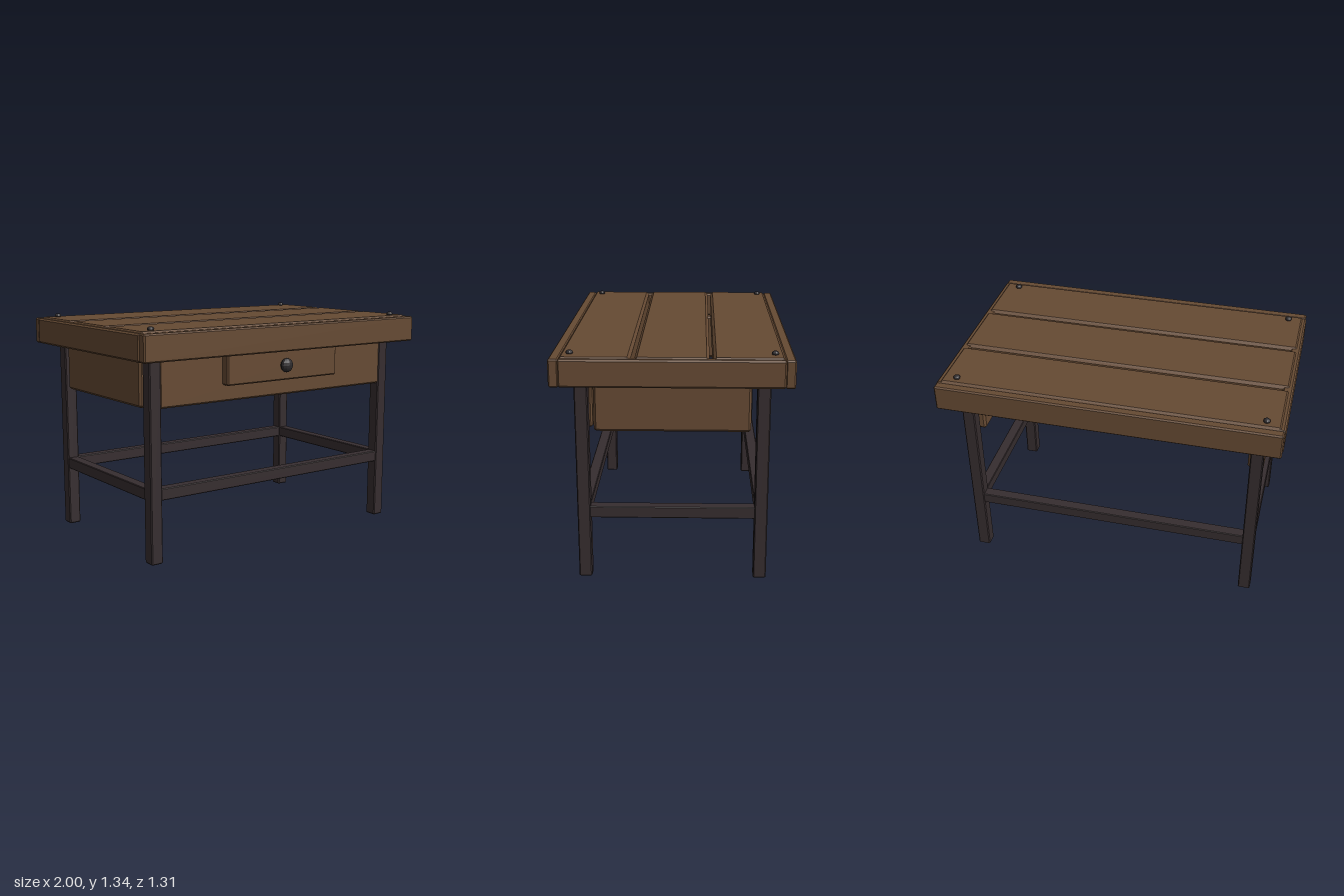
import * as THREE from 'three';
import { ConvexGeometry } from 'three/addons/geometries/ConvexGeometry.js';

const wood = new THREE.MeshStandardMaterial({ color: 0x664a33 });
wood.name = 'brown wood';
const metal = new THREE.MeshStandardMaterial({ color: 0x362d2f });
metal.name = 'dark frame metal';
const iron = new THREE.MeshStandardMaterial({ color: 0x2d2a2c });
iron.name = 'black iron';

// Box between two corners with every edge and corner chamfered
function chamferBox(name, min, max, material, bevel) {
  const half = max.map((v, i) => (v - min[i]) / 2);
  const points = [];
  for (const sx of [-1, 1]) for (const sy of [-1, 1]) for (const sz of [-1, 1]) {
    for (let axis = 0; axis < 3; axis++) {
      const p = half.map((h, i) => (i === axis ? h : h - bevel));
      points.push(new THREE.Vector3(sx * p[0], sy * p[1], sz * p[2]));
    }
  }
  const mesh = new THREE.Mesh(new ConvexGeometry(points), material);
  mesh.position.set(...max.map((v, i) => (v + min[i]) / 2));
  mesh.name = name;
  return mesh;
}

// Faceted, flattened ball for the knob and the bolt heads
function facetedBall(name, radii, position) {
  const geometry = new THREE.SphereGeometry(1, 12, 8).scale(...radii).toNonIndexed();
  geometry.computeVertexNormals();
  const mesh = new THREE.Mesh(geometry, iron);
  mesh.position.set(...position);
  mesh.name = name;
  return mesh;
}

export function createModel() {
  const table = new THREE.Group();
  table.name = 'workTable';
  const legX = 0.857, legZ = 0.498, legHalf = 0.037;
  const plankBottom = 1.172;

  // Three thick planks of the table top, with narrow gaps between
  for (const [z0, z1] of [[-0.605, -0.22], [-0.2, 0.2], [0.22, 0.605]]) {
    table.add(chamferBox('topPlank', [-0.983, plankBottom, z0], [0.983, 1.316, z1], wood, 0.016));
  }

  for (const s of [-1, 1]) {
    // Rails around the edge of the top
    const zMid = s * 0.628;
    table.add(chamferBox('longRail', [-0.996, 1.154, zMid - 0.028], [0.996, 1.308, zMid + 0.028], wood, 0.008));
    const xMid = s * 0.97;
    table.add(chamferBox('endRail', [xMid - 0.03, 1.154, -0.606], [xMid + 0.03, 1.308, 0.606], wood, 0.01));

    // Side panels hanging between the legs
    const panelX = s * 0.846;
    table.add(chamferBox('sidePanel', [panelX - 0.046, 0.877, -0.431], [panelX + 0.046, plankBottom, 0.431], wood, 0.013));

    // Stretchers joining the legs
    table.add(chamferBox('longStretcher', [-0.825, 0.364, s * legZ - 0.033], [0.825, 0.431, s * legZ + 0.033], metal, 0.004));
    table.add(chamferBox('sideStretcher', [s * legX - 0.033, 0.364, -0.465], [s * legX + 0.033, 0.431, 0.465], metal, 0.004));

    // Legs, and a bolt head above each one
    for (const t of [-1, 1]) {
      const x = s * legX, z = t * legZ;
      table.add(chamferBox('leg', [x - legHalf, 0, z - legHalf], [x + legHalf, plankBottom, z + legHalf], metal, 0.006));
      table.add(facetedBall('boltHead', [0.02, 0.014, 0.02], [s * 0.891, 1.323, t * 0.55]));
    }
  }

  // Front panel, drawer and knob
  table.add(chamferBox('frontPanel', [-0.828, 0.88, 0.443], [0.828, plankBottom, 0.533], wood, 0.01));
  table.add(chamferBox('drawerFront', [-0.408, 0.976, 0.5], [0.408, 1.165, 0.585], wood, 0.008));
  table.add(facetedBall('drawerKnob', [0.041, 0.042, 0.029], [0, 1.067, 0.608]));

  return table;
}
